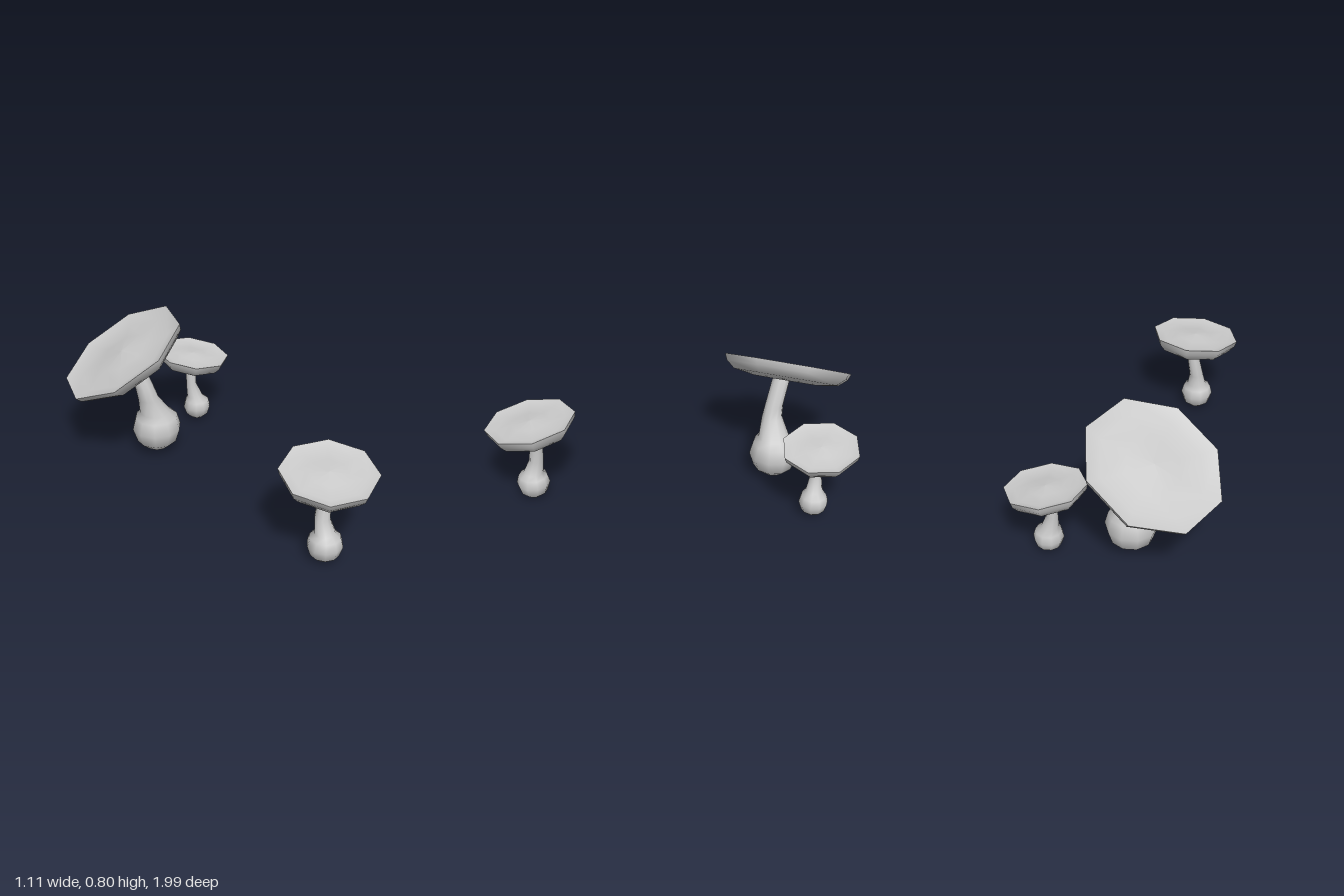
import * as THREE from 'three';

const material = new THREE.MeshStandardMaterial({ color: 0xcccccc, side: THREE.DoubleSide });

// Horizontal rings [x, y, z, radius], bottom to top, skinned into one smooth body
function loft(rings, sides = 10) {
  const positions = [], index = [];
  for (const [x, y, z, r] of rings) {
    for (let j = 0; j < sides; j++) {
      const a = (j / sides) * Math.PI * 2;
      positions.push(x + r * Math.cos(a), y, z + r * Math.sin(a));
    }
  }
  for (let i = 0; i < rings.length - 1; i++) {
    for (let j = 0; j < sides; j++) {
      const a = i * sides + j, b = i * sides + (j + 1) % sides;
      index.push(a, a + sides, b, b, a + sides, b + sides);
    }
  }
  const geometry = new THREE.BufferGeometry();
  geometry.setAttribute('position', new THREE.Float32BufferAttribute(positions, 3));
  geometry.setIndex(index);
  geometry.computeVertexNormals();
  return geometry;
}

// Round bulb at the foot, running on into a bent stem
function makeStem([x, y, z, r], stemRings) {
  const rings = [-90, -65, -35, 0, 30].map((deg) => {
    const a = THREE.MathUtils.degToRad(deg);
    return [x, y + r * Math.sin(a), z, r * Math.max(Math.cos(a), 0.001)];
  });
  const mesh = new THREE.Mesh(loft([...rings, ...stemRings]), material);
  mesh.name = 'stem';
  return mesh;
}

// Eight-sided dished cap; slope is the rise of the rim plane along x and z
function makeCap({ center, radius, slope, depth, phase }) {
  const d = depth;
  const profile = [
    [0, -0.6 * d], [0.2, -0.7 * d], [0.5, -d], [0.83, -0.8 * d], [0.96, -0.38 * d],
    [1, 0], [1, 0], // doubled point keeps the rim sharp
    [0.76, -0.07], [0.4, -0.03], [0, 0.01],
  ].map(([r, h]) => new THREE.Vector2(r * radius, h * radius));
  const geometry = new THREE.LatheGeometry(profile, 8, -THREE.MathUtils.degToRad(phase));
  const mesh = new THREE.Mesh(geometry, material);
  const normal = new THREE.Vector3(-slope[0], 1, -slope[1]).normalize();
  mesh.quaternion.setFromUnitVectors(new THREE.Vector3(0, 1, 0), normal);
  mesh.position.set(...center);
  mesh.name = 'cap';
  return mesh;
}

const mushrooms = [
  {
    name: 'largeMushroom',
    bulb: [-0.058, 0.15, -0.535, 0.135],
    stem: [[-0.064, 0.25, -0.535, 0.085], [-0.11, 0.35, -0.54, 0.056],
      [-0.12, 0.42, -0.555, 0.05], [-0.145, 0.55, -0.6, 0.049], [-0.155, 0.6, -0.63, 0.045]],
    cap: { center: [-0.172, 0.622, -0.658], radius: 0.362, slope: [0.45, 0.38], depth: 0.25, phase: 11.6 },
  },
  {
    name: 'frontMushroom',
    bulb: [-0.34, 0.09, 0.76, 0.09],
    stem: [[-0.338, 0.155, 0.757, 0.053], [-0.335, 0.23, 0.735, 0.039],
      [-0.312, 0.35, 0.733, 0.034], [-0.31, 0.43, 0.745, 0.034]],
    cap: { center: [-0.32, 0.488, 0.754], radius: 0.241, slope: [0.076, -0.115], depth: 0.37, phase: 10.7 },
  },
  {
    name: 'leftMushroom',
    bulb: [0.352, 0.083, -0.58, 0.078],
    stem: [[0.342, 0.15, -0.585, 0.045], [0.327, 0.23, -0.597, 0.03],
      [0.328, 0.32, -0.6, 0.028], [0.335, 0.37, -0.603, 0.028]],
    cap: { center: [0.352, 0.418, -0.603], radius: 0.206, slope: [-0.11, -0.1], depth: 0.37, phase: 0 },
  },
];

export function createModel() {
  const model = new THREE.Group();
  model.name = 'mushrooms';
  for (const { name, bulb, stem, cap } of mushrooms) {
    const group = new THREE.Group();
    group.name = name;
    group.add(makeStem(bulb, stem), makeCap(cap));
    model.add(group);
  }
  return model;
}
